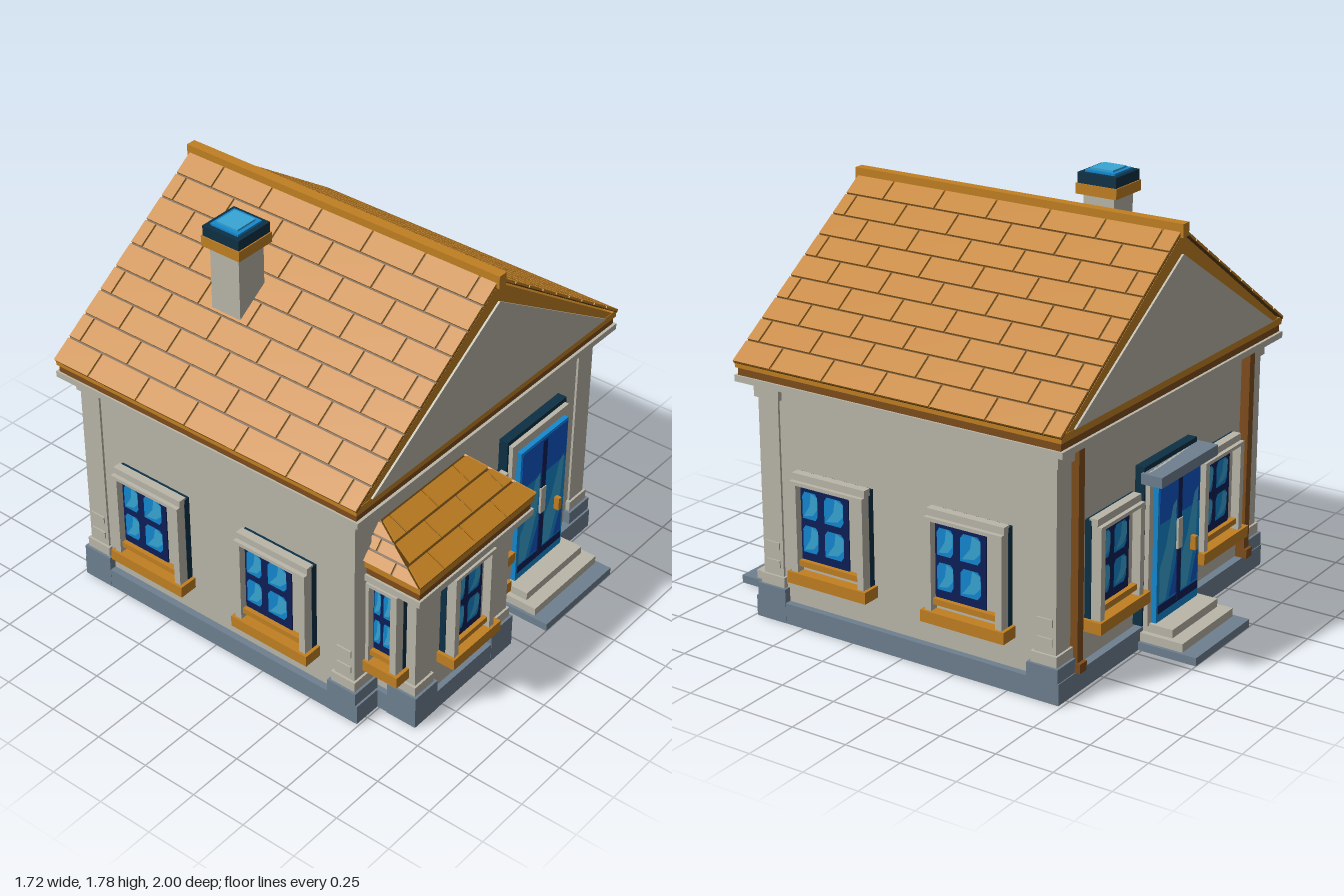
import * as THREE from 'three';
import { mergeGeometries } from 'three/addons/utils/BufferGeometryUtils.js';

const mat = (name, color) => {
  const m = new THREE.MeshStandardMaterial({ color });
  m.name = name;
  return m;
};

export function createModel() {
  const M = {
    cream: mat('cream plaster', 0xbab7a9), slate: mat('slate stone', 0x6f8090),
    orange: mat('orange tile', 0xc28022), brown: mat('brown wood', 0x7f4d1c),
    seam: mat('dark seam', 0x5e3f10), navy: mat('navy frame', 0x0c1f58),
    blue: mat('deep blue', 0x0b57c8), sky: mat('bright blue', 0x1488d0),
    light: mat('light blue', 0x38a6d4), teal: mat('dark teal', 0x0d3145),
  };
  const house = new THREE.Group();
  house.name = 'house';

  const add = (parent, name, geo, material) => {
    const m = new THREE.Mesh(geo, material);
    m.name = name;
    parent.add(m);
    return m;
  };
  // Box given by its extents on each axis
  const box = (parent, name, material, x0, x1, y0, y1, z0, z1) => {
    const g = new THREE.BoxGeometry(x1 - x0, y1 - y0, z1 - z0);
    g.translate((x0 + x1) / 2, (y0 + y1) / 2, (z0 + z1) / 2);
    return add(parent, name, g, material);
  };
  const flat = (parent, name, material, pts, z) => {
    const g = new THREE.ShapeGeometry(new THREE.Shape(pts.map(p => new THREE.Vector2(...p))));
    add(parent, name, g.translate(0, 0, z), material);
  };

  // Tiled slope: corners run bottom left, bottom right, top right, top left from outside
  function slope(name, corners, rows, len) {
    const [A, B, C, D] = corners.map(c => new THREE.Vector3(...c));
    const width = A.distanceTo(B);
    const e = B.clone().sub(A).normalize();
    const n = e.clone().cross(D.clone().sub(A)).normalize();
    const inL = D.clone().sub(A).dot(e), inR = C.clone().sub(B).dot(e);
    const gv = 0.009 / A.clone().addScaledVector(e, inL).distanceTo(D);
    const slab = (s0, s1, v0, v1, h0, h1) => {
      const g = new THREE.BoxGeometry(1, 1, 1), p = g.attributes.position;
      for (let i = 0; i < p.count; i++) {
        const v = p.getY(i) < 0 ? v0 : v1;
        const s = THREE.MathUtils.clamp(p.getX(i) < 0 ? s0 : s1, inL * v, width + inR * v);
        const q = A.clone().lerp(D, v).addScaledVector(e, s - inL * v)
          .addScaledVector(n, p.getZ(i) < 0 ? h0 : h1);
        p.setXYZ(i, q.x, q.y, q.z);
      }
      g.computeVertexNormals();
      return g;
    };
    add(house, name + 'Underlay', slab(0, width, 0, 1, 0, 0.005), M.seam);
    const tiles = [];
    for (let r = 0; r < rows; r++) {
      const v0 = r / rows, v1 = (r + 1) / rows - gv;
      for (let s = (r % 2 ? -0.75 : -0.25) * len; s < width; s += len) {
        const a = s, b = s + len - 0.009;
        if (b < inL * v0 + 0.005 || a > width + inR * v0 - 0.005) continue;
        tiles.push(slab(a, b, v0, v1, 0.003, 0.014));
      }
    }
    add(house, name + 'Tiles', mergeGeometries(tiles), M.orange);
  }

  // Window facing local +z, with its pane set toward the viewer's left
  function windowUnit(w, x, z, turn, edge = 0) {
    const g = new THREE.Group();
    g.name = 'window';
    g.position.set(x, 0, z);
    g.rotation.y = turn;
    const l = -w / 2, r = w / 2 - edge, pw = w * 0.66, p0 = l + Math.min(0.03, w * 0.1), y0 = 0.32, ph = 0.325;
    box(g, 'windowBacking', M.teal, l, w / 2, 0.27, 0.68, 0, 0.028);
    box(g, 'windowPanel', M.cream, l + 0.01, r - 0.01, 0.27, 0.67, 0.028, 0.036);
    box(g, 'windowLintel', M.cream, l, r, 0.66, 0.69, 0.02, 0.056);
    box(g, 'windowHead', M.cream, l + 0.015, r - 0.015, 0.645, 0.66, 0.03, 0.074);
    box(g, 'leftJamb', M.cream, l, p0, 0.27, 0.66, 0.03, 0.074);
    box(g, 'rightJamb', M.cream, r - 0.03, r, 0.27, 0.66, 0.03, 0.074);
    box(g, 'innerSill', M.orange, p0, r - 0.03, 0.295, 0.32, 0.03, 0.062);
    box(g, 'outerSill', M.orange, l - 0.015, w / 2 + 0.015, 0.22, 0.27, -0.005, 0.085);
    box(g, 'glazingFrame', M.navy, p0, p0 + pw, y0, y0 + ph, 0.036, 0.042);
    // Four rounded panes with a reflection on each
    for (const [u, d] of [[0.04, 0.32], [0.5, 0.4]]) for (const y of [0.355, 0.5]) {
      const a = p0 + u * pw, b = d * pw, h = 0.115;
      flat(g, 'glassPane', M.sky, [[a, y], [a + b * 0.85, y], [a + b, y + 0.02], [a + b, y + h - 0.015],
        [a + b * 0.85, y + h], [a + b * 0.15, y + h], [a, y + h - 0.02]], 0.044);
      flat(g, 'paneReflection', M.light, [[a + b * 0.1, y + 0.01], [a + b * 0.7, y + 0.02], [a + b, y + 0.05],
        [a + b, y + h - 0.015], [a + b * 0.6, y + h], [a + b * 0.5, y + 0.06]], 0.046);
    }
    house.add(g);
  }

  // Double door facing local +z
  function doorUnit(x, z, turn, top) {
    const g = new THREE.Group();
    g.name = 'door';
    g.position.set(x, 0, z);
    g.rotation.y = turn;
    box(g, 'doorBacking', M.teal, -0.205, 0.205, 0.1, top + 0.06, -0.01, 0.042);
    box(g, 'doorSurround', M.cream, -0.195, 0.195, 0.1, top + 0.04, 0.04, 0.062);
    box(g, 'doorLeaf', M.sky, -0.165, 0.165, 0.105, top, 0.06, 0.084);
    box(g, 'upperPanel', M.blue, -0.155, 0.16, top - 0.19, top - 0.01, 0.084, 0.086);
    box(g, 'kickPlate', M.navy, -0.155, 0.155, 0.145, 0.18, 0.084, 0.087);
    for (const s of [-1, 1]) {
      const c = s * 0.085;
      flat(g, 'longReflection', M.light, [[c - 0.065, 0.19], [c - 0.015, 0.19], [c + 0.05, 0.4],
        [c + 0.06, 0.6], [c + 0.03, 0.58], [c - 0.02, 0.42], [c - 0.065, 0.34]], 0.0875);
      flat(g, 'shortReflection', M.blue, [[c + 0.01, 0.19], [c + 0.065, 0.19], [c + 0.065, 0.34]], 0.0878);
    }
    box(g, 'centreBar', M.navy, -0.015, 0.015, 0.15, top - 0.02, 0.084, 0.089);
    box(g, 'pullPlate', M.cream, -0.018, 0.016, 0.38, 0.51, 0.084, 0.094);
    box(g, 'doorHandle', M.orange, 0.09, 0.11, 0.34, 0.4, 0.084, 0.112);
    house.add(g);
  }

  // Corner post with stone foot, base and capital
  function post(x, z, top) {
    const sq = (name, m, r, y0, y1) => box(house, name, m, x - r, x + r, y0, y1, z - r, z + r);
    sq('postFoot', M.slate, 0.071, 0, 0.15);
    sq('postBase', M.cream, 0.06, 0.15, 0.195);
    sq('postShaft', M.cream, 0.05, 0.15, top);
    sq('postCapital', M.cream, 0.062, top - 0.06, top - 0.012);
    sq('postTrim', M.orange, 0.066, top - 0.012, top + 0.005);
  }

  // Main walls and plinth
  box(house, 'plinth', M.slate, -0.805, 0.805, 0, 0.09, -0.735, 0.74);
  box(house, 'walls', M.cream, -0.775, 0.775, 0.09, 1.04, -0.7, 0.7);
  for (const x of [-0.735, 0.735]) for (const z of [-0.66, 0.66]) {
    post(x, z, 1.02);
    for (const y of [0.23, 0.31])
      box(house, 'quoin', M.cream, x - 0.056, x + 0.056, y, y + 0.032, z - 0.035, z + 0.035);
  }

  // Main cornice, gables and roof
  box(house, 'corniceBed', M.cream, -0.85, 0.85, 1.028, 1.055, -0.775, 0.775);
  box(house, 'corniceBoard', M.brown, -0.842, 0.842, 1.055, 1.088, -0.762, 0.762);
  box(house, 'corniceTrim', M.orange, -0.85, 0.85, 1.088, 1.12, -0.77, 0.77);
  const triangle = (name, m, w, y, apex, half) => {
    const s = new THREE.Shape([new THREE.Vector2(-w, y), new THREE.Vector2(w, y), new THREE.Vector2(0, apex)]);
    add(house, name, new THREE.ExtrudeGeometry(s, { depth: half * 2, bevelEnabled: false }).translate(0, 0, -half), m);
  };
  triangle('roofBody', M.orange, 0.82, 1.119, 1.68, 0.768);
  triangle('gablePanels', M.cream, 0.765, 1.121, 1.6, 0.777);
  for (const s of [-1, 1])
    slope('roof', [[s * 0.852, 1.107, s * 0.772], [s * 0.852, 1.107, -s * 0.772],
      [0, 1.69, -s * 0.772], [0, 1.69, s * 0.772]], 9, 0.256);
  box(house, 'ridgeCap', M.orange, -0.022, 0.022, 1.67, 1.725, -0.785, 0.785);

  // Chimney, stepping in toward a glazed top
  const chimney = [['chimneyShaft', M.cream, 0.073, 1.32, 1.67], ['chimneyCollar', M.orange, 0.097, 1.67, 1.715],
    ['chimneyCap', M.teal, 0.092, 1.715, 1.76], ['chimneyGlass', M.sky, 0.07, 1.76, 1.769],
    ['chimneyGlassTop', M.light, 0.053, 1.769, 1.777]];
  for (const [name, m, r, y0, y1] of chimney)
    box(house, name, m, -0.4 - r, -0.4 + r, y0, y1, -0.188 - r, -0.188 + r);

  // Front bay with hipped roof
  box(house, 'bayPlinth', M.slate, -0.675, -0.035, 0, 0.09, 0.65, 0.93);
  box(house, 'bayWalls', M.cream, -0.65, -0.062, 0.09, 0.68, 0.65, 0.905);
  for (const x of [-0.607, -0.103]) post(x, 0.86, 0.672);
  box(house, 'bayCorniceBed', M.cream, -0.725, 0.012, 0.67, 0.7, 0.69, 0.975);
  box(house, 'bayCorniceBoard', M.brown, -0.715, 0.002, 0.7, 0.738, 0.69, 0.965);
  box(house, 'bayCorniceTrim', M.orange, -0.725, 0.012, 0.738, 0.768, 0.69, 0.975);
  const [bl, br, tr, tl] = [[-0.725, 0.766, 0.975], [0.012, 0.766, 0.975], [-0.1, 0.892, 0.7], [-0.613, 0.892, 0.7]];
  slope('bayRoofFront', [bl, br, tr, tl], 3, 0.2);
  slope('bayRoofLeft', [br, [br[0], br[1], 0.7], tr, tr], 3, 0.2);
  slope('bayRoofRight', [[bl[0], bl[1], 0.7], bl, tl, tl], 3, 0.2);

  // Windows
  const H = Math.PI / 2;
  windowUnit(0.28, -0.357, 0.905, 0, 0.02);
  windowUnit(0.28, 0.025, 0.7, 0, 0.02);
  windowUnit(0.15, -0.062, 0.79, H);
  windowUnit(0.15, -0.65, 0.79, -H);
  for (const z of [0.333, -0.325]) {
    windowUnit(0.36, 0.775, z, H);
    windowUnit(0.36, -0.775, z, -H);
  }
  for (const x of [-0.4, 0.4]) windowUnit(0.34, x, -0.7, Math.PI, 0.02);

  // Doors, back canopy and steps
  doorUnit(0.355, 0.7, 0, 0.77);
  doorUnit(0, -0.7, Math.PI, 0.72);
  box(house, 'backCanopy', M.slate, -0.22, 0.22, 0.715, 0.76, -0.83, -0.735);
  for (const [x, r, s] of [[0.355, 0.235, 1], [0, 0.218, -1]]) {
    const step = (m, w, y0, y1, d) =>
      box(house, 'step', m, x - w, x + w, y0, y1, Math.min(s * 0.69, s * d), Math.max(s * 0.69, s * d));
    step(M.slate, r, 0, 0.035, 1);
    step(M.cream, r - 0.014, 0.035, 0.072, 0.93);
    step(M.cream, r - 0.037, 0.072, 0.108, 0.87);
  }

  // Drainpipes on the back wall
  for (const x of [-0.66, 0.66]) {
    box(house, 'drainpipe', M.brown, x - 0.02, x + 0.02, 0.1, 1.03, -0.74, -0.69);
    box(house, 'drainFoot', M.brown, x - 0.024, x + 0.024, 0.09, 0.13, -0.755, -0.69);
  }
  return house;
}
